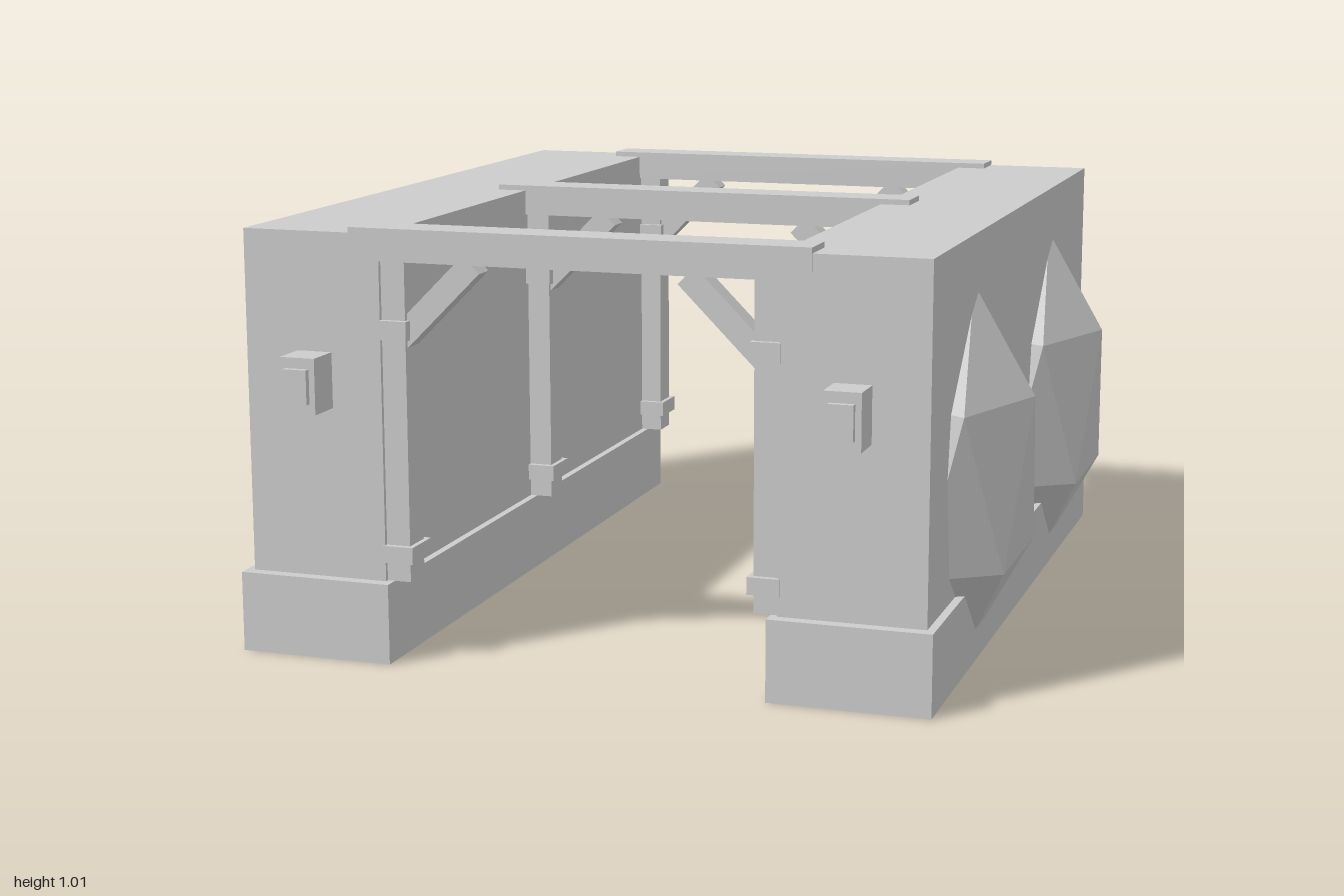
import * as THREE from 'three';
import { ConvexGeometry } from 'three/addons/geometries/ConvexGeometry.js';

export function createModel() {
  const model = new THREE.Group();
  model.name = 'archway';
  const grey = new THREE.MeshStandardMaterial({ color: 0xcccccc });
  grey.name = 'light grey';

  // Box given by its minimum and maximum on each axis
  function box(name, parent, x0, x1, y0, y1, z0, z1) {
    const mesh = new THREE.Mesh(new THREE.BoxGeometry(x1 - x0, y1 - y0, z1 - z0), grey);
    mesh.position.set((x0 + x1) / 2, (y0 + y1) / 2, (z0 + z1) / 2);
    mesh.name = name;
    parent.add(mesh);
    return mesh;
  }

  // Stretched icosahedron: two poles and two staggered rings of five
  const points = [new THREE.Vector3(0, 0.44, 0), new THREE.Vector3(0, -0.42, 0)];
  for (let i = 0; i < 5; i++) {
    const a = (i * Math.PI * 2) / 5;
    const b = a + Math.PI / 5;
    points.push(new THREE.Vector3(0.147 * Math.cos(a), 0.188, 0.306 * Math.sin(a)));
    points.push(new THREE.Vector3(0.147 * Math.cos(b), -0.188, 0.306 * Math.sin(b)));
  }
  const rockGeometry = new ConvexGeometry(points);

  const beamZ = [-0.925, -0.04, 0.848];

  for (const side of [1, -1]) {
    const half = new THREE.Group();
    half.name = side > 0 ? 'leftSide' : 'rightSide';
    // The right half is the left half turned round; z is flipped to match
    half.rotation.y = side > 0 ? 0 : Math.PI;
    const span = (z0, z1) => (side > 0 ? [z0, z1] : [-z1, -z0]);

    // Wall on its wider plinth
    box('plinth', half, 0.452, 0.826, 0, 0.19, ...span(-1, 0.925));
    box('wall', half, 0.47, 0.807, 0.19, 0.997, ...span(-0.97, 0.896));

    // Rocks set into the outer face
    for (const z of [0.432, -0.504]) {
      const rock = new THREE.Mesh(rockGeometry, grey);
      rock.position.set(0.796, 0.437, side * z);
      rock.name = 'rock';
      half.add(rock);
    }

    // Switch box on the front end
    box('switchBox', half, 0.593, 0.678, 0.59, 0.72, ...span(0.896, 0.985));
    box('switchPanel', half, 0.607, 0.664, 0.615, 0.695, ...span(0.985, 1));

    // Posts with clips and diagonal braces under each beam
    for (const z of beamZ) {
      box('post', half, 0.412, 0.475, 0.19, 0.94, ...span(z - 0.038, z + 0.038));
      box('lowerClip', half, 0.4, 0.475, 0.235, 0.275, ...span(z - 0.052, z + 0.052));
      box('upperClip', half, 0.405, 0.475, 0.755, 0.8, ...span(z - 0.052, z + 0.052));
      const brace = box('brace', half, -0.028, 0.028, -0.125, 0.125, -0.028, 0.028);
      brace.position.set(0.342, 0.845, side * z);
      brace.rotation.z = Math.PI / 4;
    }
    model.add(half);
  }

  // Cross beams
  for (const z of beamZ) box('crossBeam', model, -0.543, 0.543, 0.935, 1.01, z - 0.05, z + 0.05);

  return model;
}
